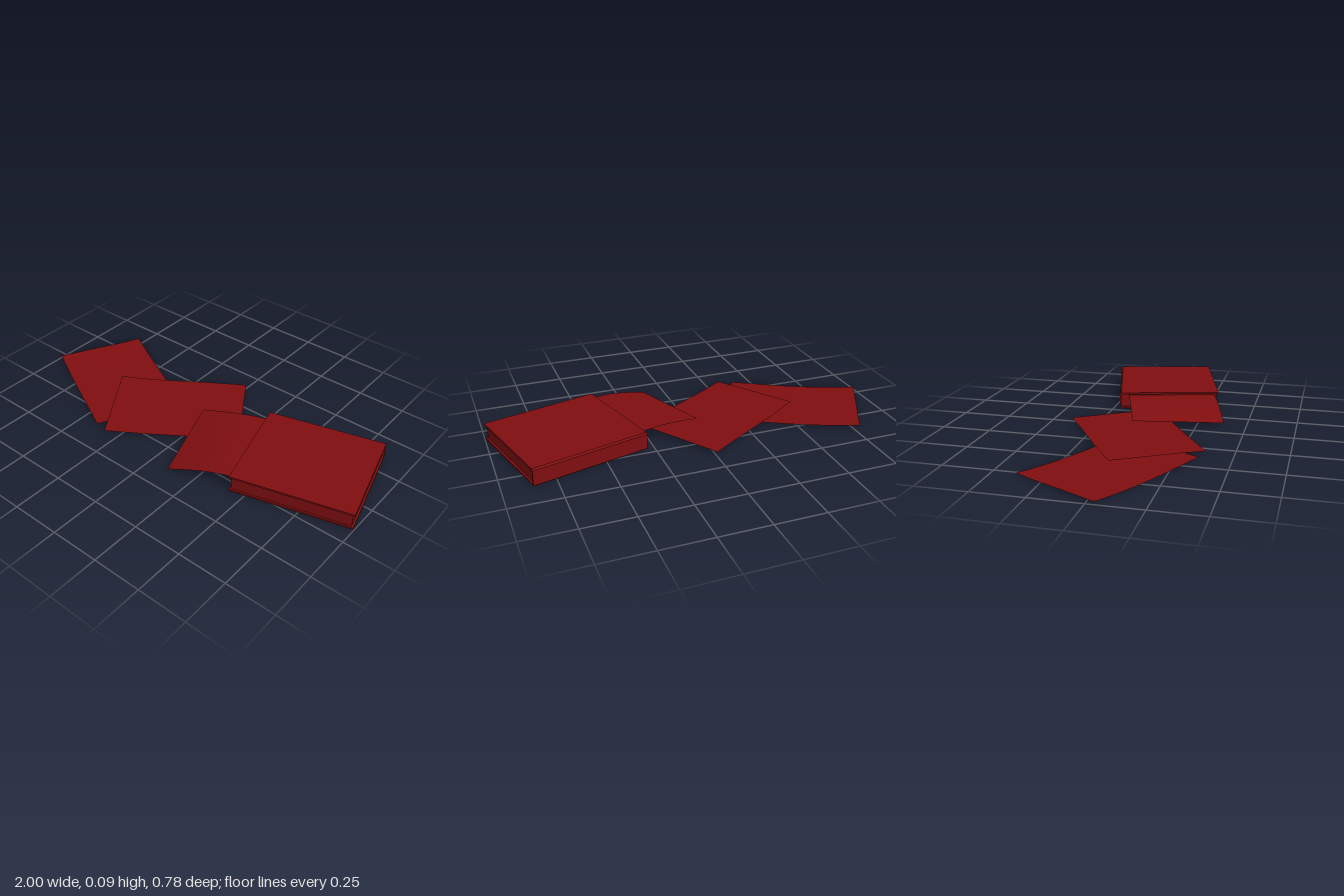
import * as THREE from 'three';

const paint = () => new THREE.MeshStandardMaterial({ color: 0x800e10 });
const lerp = THREE.MathUtils.lerp;

// A thin curled page; height(s, t) takes -1..1 along its length and width
function page(name, x, z, turn, height) {
  const L = 0.68, W = 0.47;
  const geo = new THREE.PlaneGeometry(L, W, 24, 16).rotateX(-Math.PI / 2);
  const p = geo.attributes.position;
  for (let i = 0; i < p.count; i++) {
    p.setY(i, height(p.getX(i) * 2 / L, p.getZ(i) * 2 / W));
  }
  geo.computeVertexNormals();
  const material = paint();
  material.side = THREE.DoubleSide;
  const mesh = new THREE.Mesh(geo, material);
  mesh.name = name;
  mesh.position.set(x, 0, z);
  mesh.rotation.y = turn;
  return mesh;
}

function createBook() {
  const book = new THREE.Group();
  book.name = 'book';
  const L = 0.594, D = 0.54, low = 0.005, high = 0.092, t = 0.009, c = 0.008;
  const f = D / 2;

  // Cover and chamfered spine as one C-shaped section, swept along the length
  const section = [
    [-f, low], [f - c / 2, low], [f, low + c / 2], [f, high - c], [f - c, high], [-f, high],
    [-f, high - t], [f - t, high - t], [f - t, low + t], [-f, low + t],
  ];
  const shape = new THREE.Shape(section.map(([z, y]) => new THREE.Vector2(-z, y)));
  const coverGeo = new THREE.ExtrudeGeometry(shape, { depth: L, bevelEnabled: false });
  coverGeo.translate(0, 0, -L / 2).rotateY(Math.PI / 2);
  coverGeo.rotateY(Math.PI);
  // the section's -z side must end up as the open back edge
  coverGeo.computeBoundingBox();
  const cover = new THREE.Mesh(coverGeo, paint());
  cover.name = 'cover';

  // Page block, set back from the three open edges
  const inset = 0.01;
  const block = new THREE.Mesh(
    new THREE.BoxGeometry(L - 2 * inset, high - low - 2 * t, D - inset - t), paint());
  block.name = 'pageBlock';
  block.position.set(0, (low + high) / 2, (inset - t) / 2);

  // Spine lies on +z after the half turn is undone
  cover.rotation.y = Math.PI;
  const spine = new THREE.Group();
  spine.name = 'binding';
  spine.add(cover);
  spine.rotation.y = Math.PI;
  book.add(spine, block);
  book.position.set(0.64, 0, -0.028);
  book.rotation.y = 0.257;
  return book;
}

export function createModel() {
  const model = new THREE.Group();
  model.name = 'bookWithLoosePages';
  model.add(createBook());

  // Outer page lies lowest, with its far end curling up
  model.add(page('outerPage', -0.59, -0.015, -0.473, (s, t) =>
    0.01 + 0.003 * Math.sin(3 * t + 1) * (1 - s) / 2
    - 0.004 * Math.cos(2.5 * s) + 0.007 * Math.max(0, -s) ** 4 * t * t));

  // Middle page rests on the outer one
  model.add(page('middlePage', -0.163, -0.012, 0.57, (s, t) =>
    0.023 + 0.003 * Math.sin(2.5 * s) + 0.007 * Math.max(0, -s) ** 3 * (1 - t) / 2
    - 0.003 * t * t * (1 + t) / 2));

  // Inner page slides up under the front cover
  model.add(page('innerPage', 0.366, 0.058, 0.314, (s, t) => {
    const k = Math.min(1, (s + 1) / 0.95);
    const start = lerp(0.04, 0.018, (t + 1) / 2);
    return lerp(start, 0.077, Math.sin(k * Math.PI / 2));
  }));
  return model;
}
